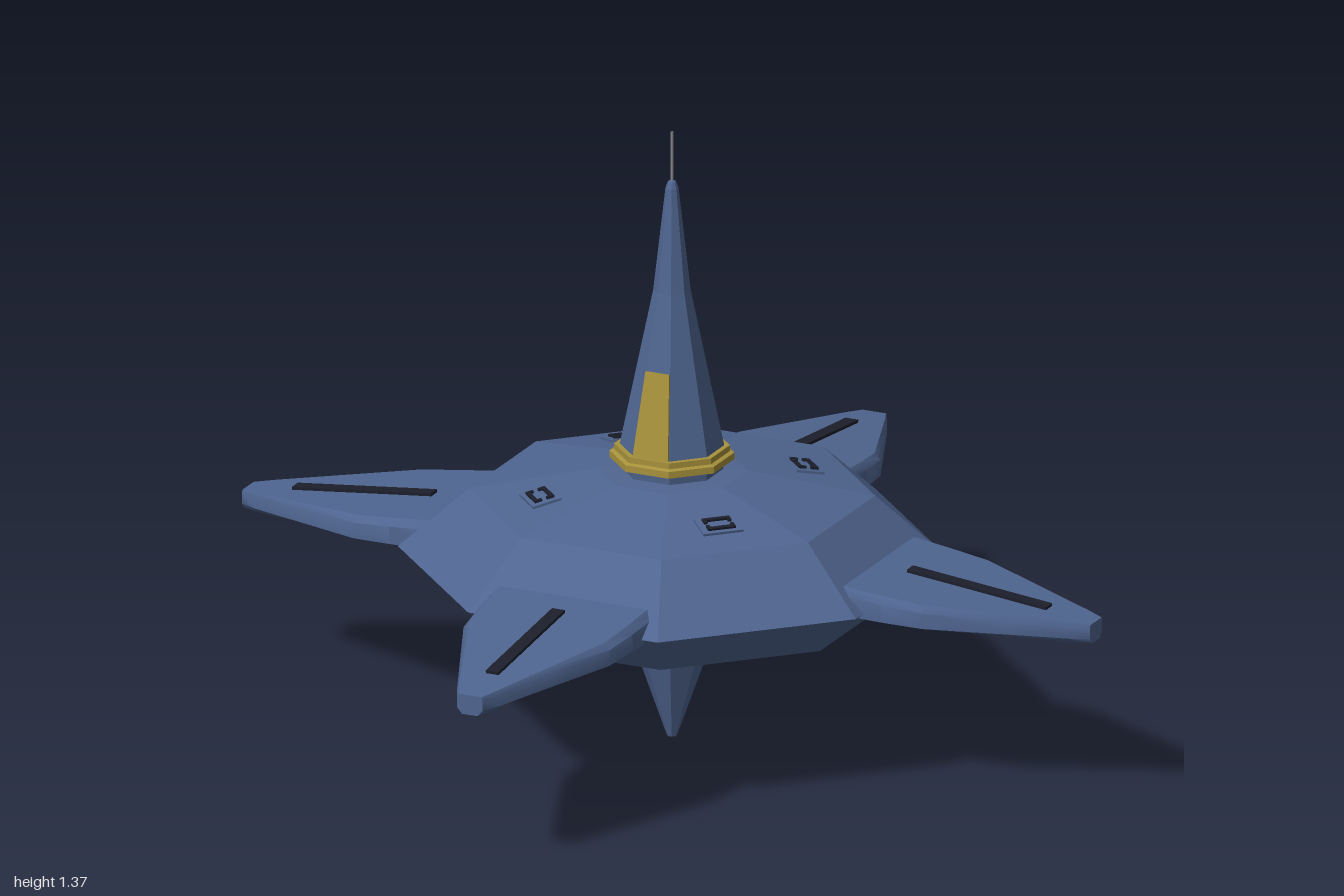
import * as THREE from 'three';
import { toCreasedNormals } from 'three/addons/utils/BufferGeometryUtils.js';

const mat = (name, color) => Object.assign(new THREE.MeshStandardMaterial({ color }), { name });

export function createModel() {
  const model = new THREE.Group();
  model.name = 'station';
  const hullBlue = mat('hull blue', 0x4f6590);
  const dark = mat('dark trim', 0x1c1f2b);
  const gold = mat('gold', 0xa8923c);
  const grey = mat('antenna grey', 0x85888c);

  const add = (parent, name, geo, material, x = 0, y = 0, z = 0) => {
    const m = new THREE.Mesh(geo, material);
    m.name = name;
    m.position.set(x, y, z);
    parent.add(m);
    return m;
  };

  // Faceted octagonal solid; profile is [apothem, y] from bottom to top
  const octagon = (profile) => {
    const pts = profile.map(([a, y]) => new THREE.Vector2(a / Math.cos(Math.PI / 8), y));
    const g = new THREE.LatheGeometry(pts, 8, Math.PI / 8).toNonIndexed();
    g.computeVertexNormals();
    return g;
  };

  // Main hull, tower and lower spike
  add(model, 'hull', octagon([[0, 0.26], [0.18, 0.26], [0.435, 0.318], [0.54, 0.42],
    [0.4, 0.553], [0.15, 0.605], [0, 0.612]]), hullBlue);
  add(model, 'tower', octagon([[0.1, 0.6], [0.105, 0.65], [0.037, 1.01], [0.013, 1.24],
    [0.008, 1.255], [0, 1.257]]), hullBlue);
  add(model, 'lowerSpike', octagon([[0, 0], [0.01, 0.004], [0.093, 0.262]]), hullBlue);
  add(model, 'antenna', new THREE.CylinderGeometry(0.003, 0.003, 0.12, 6), grey, 0, 1.307, 0);

  // Stepped collar round the tower base
  add(model, 'collar', octagon([[0.1, 0.627], [0.123, 0.63], [0.123, 0.645], [0.114, 0.648],
    [0.114, 0.661], [0.1, 0.661]]), gold);

  // Gold panel lying on the front facet of the tower
  const panelShape = new THREE.Shape([[-0.042, 0], [0.042, 0], [0.028, 0.19], [-0.028, 0.19]]
    .map(([x, y]) => new THREE.Vector2(x, y)));
  const panel = add(model, 'frontPanel',
    new THREE.ExtrudeGeometry(panelShape, { depth: 0.005, bevelEnabled: false }), gold, 0, 0.657, 0.1035);
  panel.rotation.x = -Math.atan2(0.068, 0.36);

  // Wing built from rounded cross-sections along +z: [z, half width, top, bottom]
  const stations = [[0.48, 0.19, 0.471, 0.385], [0.58, 0.183, 0.46, 0.382], [0.67, 0.172, 0.4505, 0.38],
    [0.84, 0.1, 0.432, 0.374], [0.96, 0.049, 0.419, 0.369], [1, 0.03, 0.414, 0.37]];
  const half = [[0.6, 0], [1, 0.3], [1, 0.8], [0.92, 1]];
  const section = [...half, ...half.map(([x, y]) => [-x, y]).reverse()];
  const n = section.length;
  const pos = [];
  const idx = [];
  for (const [z, w, top, bottom] of stations) {
    for (const [x, y] of section) pos.push(x * w, bottom + y * (top - bottom), z);
  }
  for (let s = 0; s < stations.length - 1; s++) {
    for (let i = 0; i < n; i++) {
      const a = s * n + i;
      const b = s * n + (i + 1) % n;
      idx.push(a, b, b + n, a, b + n, a + n);
    }
  }
  const end = (stations.length - 1) * n;
  for (let i = 1; i < n - 1; i++) {
    idx.push(0, i + 1, i, end, end + i, end + i + 1);
  }
  const raw = new THREE.BufferGeometry();
  raw.setAttribute('position', new THREE.Float32BufferAttribute(pos, 3));
  raw.setIndex(idx);
  const wingGeo = toCreasedNormals(raw, 0.75);

  for (let k = 0; k < 4; k++) {
    // Wing with its dark slot
    const arm = new THREE.Group();
    arm.name = 'wing' + (k + 1);
    arm.rotation.y = k * Math.PI / 2;
    model.add(arm);
    add(arm, 'wingBody', wingGeo, hullBlue);
    const slot = add(arm, 'wingSlot', new THREE.BoxGeometry(0.03, 0.009, 0.33), dark, 0, 0.4465, 0.725);
    slot.rotation.x = Math.atan(0.108);

    // Deck hatch on each diagonal facet, with a pair of dark brackets
    const spoke = new THREE.Group();
    spoke.name = 'hatchMount' + (k + 1);
    spoke.rotation.y = (k + 0.5) * Math.PI / 2;
    model.add(spoke);
    const hatch = new THREE.Group();
    hatch.name = 'deckHatch';
    hatch.position.set(0, 0.576, 0.297);
    hatch.rotation.x = Math.atan2(0.052, 0.25);
    spoke.add(hatch);
    add(hatch, 'hatchPlate', new THREE.BoxGeometry(0.09, 0.008, 0.065), hullBlue);
    for (const s of [-1, 1]) {
      add(hatch, 'bracketBar', new THREE.BoxGeometry(0.062, 0.008, 0.009), dark, 0, 0.005, s * 0.018);
      for (const e of [-1, 1]) {
        add(hatch, 'bracketEnd', new THREE.BoxGeometry(0.008, 0.008, 0.009), dark, e * 0.027, 0.005, s * 0.01);
      }
    }
  }

  // Pods beside the lower spike, with dark undersides
  for (const s of [-1, 1]) {
    add(model, 'lowerPod', new THREE.BoxGeometry(0.14, 0.022, 0.05), hullBlue, 0, 0.254, s * 0.092);
    add(model, 'lowerPodPlate', new THREE.BoxGeometry(0.12, 0.005, 0.036), dark, 0, 0.242, s * 0.092);
  }
  return model;
}
